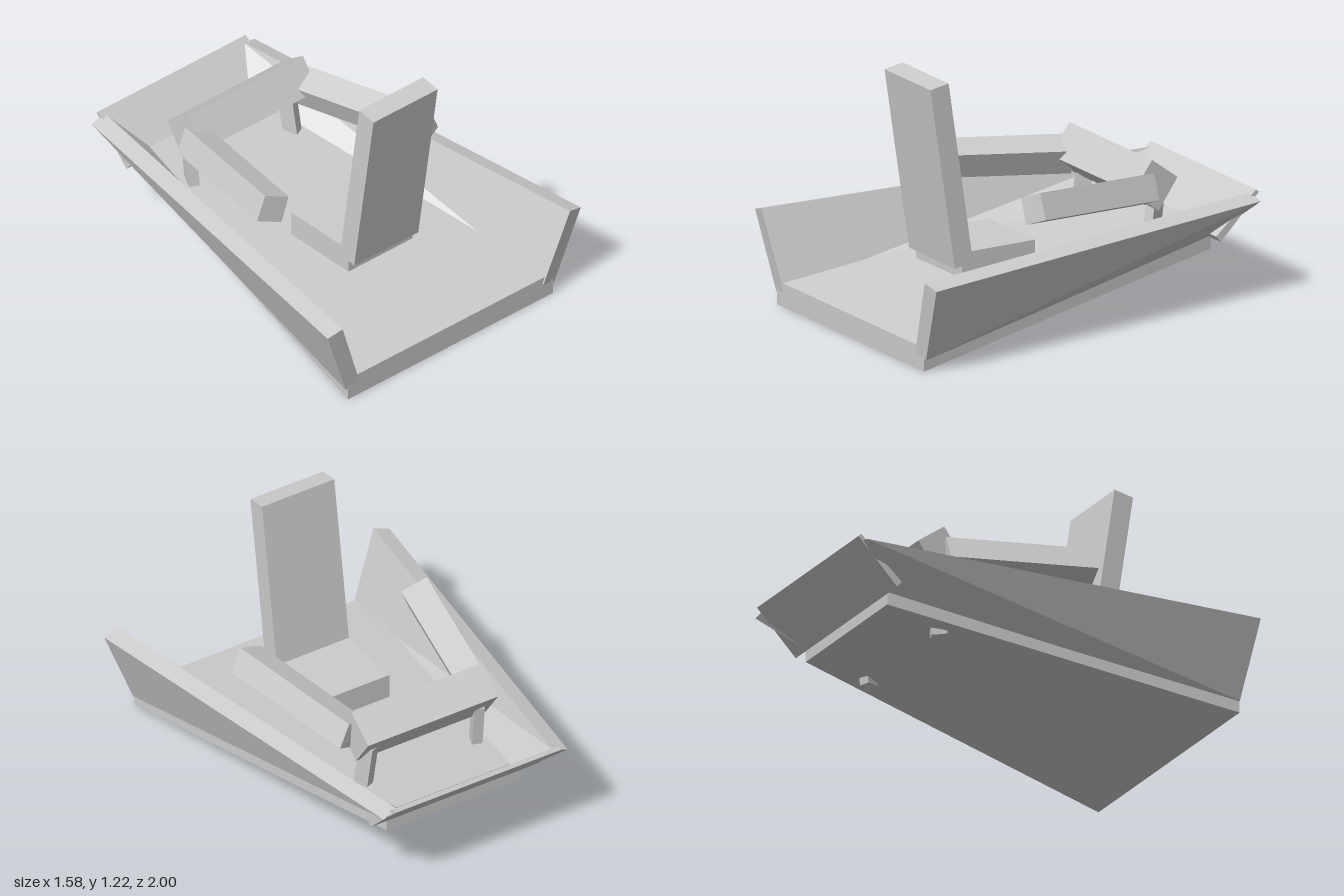
import * as THREE from 'three';

const material = new THREE.MeshStandardMaterial({ color: 0xcccccc, flatShading: true });

// Six-sided block between a front and a rear section, each listed
// counter-clockwise as seen from the front; side = -1 mirrors it in x.
function block(name, front, rear, side = 1) {
  const pos = [];
  const tri = (...p) => {
    if (side < 0) p.reverse();
    for (const [x, y, z] of p) pos.push(side * x, y, z);
  };
  const quad = (a, b, c, d, flip) => {
    if (flip) { tri(a, b, d); tri(b, c, d); }
    else { tri(a, b, c); tri(a, c, d); }
  };
  quad(...front);
  quad(...[...rear].reverse());
  for (let i = 0; i < 4; i++) {
    const j = (i + 1) % 4;
    quad(front[i], rear[i], rear[j], front[j], i > 1);
  }
  const geo = new THREE.BufferGeometry();
  geo.setAttribute('position', new THREE.Float32BufferAttribute(pos, 3));
  geo.computeVertexNormals();
  const mesh = new THREE.Mesh(geo, material);
  mesh.name = name;
  return mesh;
}

// Side profile of [z, y] points extruded symmetrically across the width
function across(name, halfWidth, profile) {
  const shape = new THREE.Shape(profile.map(([z, y]) => new THREE.Vector2(-z, y)));
  const geo = new THREE.ExtrudeGeometry(shape, { depth: 2 * halfWidth, bevelEnabled: false });
  geo.translate(0, 0, -halfWidth).rotateY(Math.PI / 2);
  const mesh = new THREE.Mesh(geo, material);
  mesh.name = name;
  return mesh;
}

// Rectangular section at one end of the floor slab
const floorEnd = (w, y0, y1, z) => [[-w, y0, z], [w, y0, z], [w, y1, z], [-w, y1, z]];

export function createModel() {
  const model = new THREE.Group();
  model.name = 'openSled';

  // Tapered, sloping floor and the raked rear panel
  model.add(block('floor', floorEnd(0.64, 0.005, 0.12, 0.96), floorEnd(0.37, 0.25, 0.362, -0.79)));
  model.add(across('rearPanel', 0.46, [[-0.985, 0.53], [-1.0, 0.515], [-0.79, 0.305], [-0.765, 0.335]]));

  // Seat, with its back leaning toward the wide end
  model.add(across('seatBase', 0.2, [[0.07, 0.265], [0.07, 0.39], [0.47, 0.39], [0.47, 0.265]]));
  model.add(across('seatBack', 0.2, [[0.645, 1.21], [0.545, 1.227], [0.41, 0.335], [0.51, 0.32]]));

  // Tilted console beam
  model.add(across('consoleBeam', 0.36, [[-0.475, 0.73], [-0.615, 0.625], [-0.51, 0.475], [-0.37, 0.585]]));

  for (const side of [1, -1]) {
    const label = side > 0 ? 'left' : 'right';

    // Outward-leaning, twisted side wall
    model.add(block(label + 'Wall',
      [[0.575, 0.085, 0.965], [0.65, 0.06, 0.955], [0.79, 0.435, 0.985], [0.71, 0.46, 1.0]],
      [[0.28, 0.33, -0.78], [0.36, 0.305, -0.79], [0.51, 0.485, -0.98], [0.43, 0.51, -0.97]], side));

    // Armrest, splayed and rolled outward
    const end = [[0.44, 0.555, 0.27], [0.565, 0.605, 0.24], [0.515, 0.725, 0.24], [0.39, 0.675, 0.265]];
    model.add(block(label + 'Armrest', end,
      end.map(([x, y, z]) => [x - 0.14, y - 0.055, z - 0.715]), side));

    // Post carrying the beam, passing through the floor
    const post = new THREE.Mesh(new THREE.BoxGeometry(0.05, 0.38, 0.075), material);
    post.name = label + 'Post';
    post.position.set(side * 0.31, 0.37, -0.505);
    post.rotation.set(-0.16, side * 0.4, side * 0.04);
    model.add(post);
  }
  return model;
}
